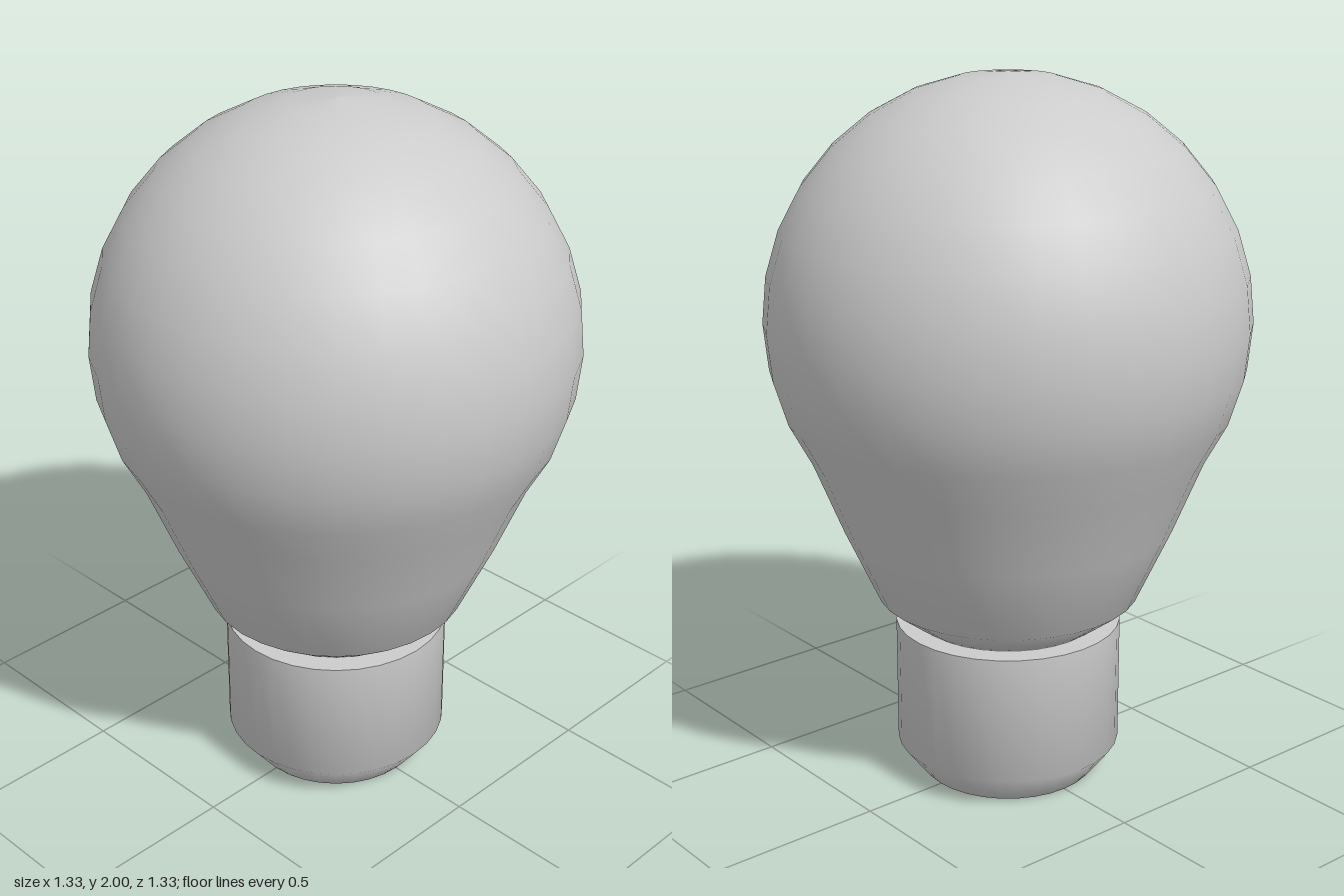
import * as THREE from 'three';
import { toCreasedNormals } from 'three/addons/utils/BufferGeometryUtils.js';

const SIDES = 32;
const RADIUS = 0.665;
const CENTRE_Y = 1.335;

export function createModel() {
  const group = new THREE.Group();
  const material = new THREE.MeshStandardMaterial({ color: 0xcccccc });

  const addPart = (name, geometry) => {
    const mesh = new THREE.Mesh(geometry, material);
    mesh.name = name;
    group.add(mesh);
  };
  const points = (pairs) => pairs.map(([r, y]) => new THREE.Vector2(r, y));

  // Glass bulb: tapered neck running up into a sphere
  const bulb = points([[0, 0.45], [0.25, 0.45], [0.3, 0.487], [0.37, 0.54], [0.47, 0.76]]);
  for (let i = -3; i <= 8; i++) {
    const a = (i * Math.PI) / 16;
    bulb.push(new THREE.Vector2(i === 8 ? 0 : RADIUS * Math.cos(a), CENTRE_Y + RADIUS * Math.sin(a)));
  }
  addPart('bulb', new THREE.LatheGeometry(bulb, SIDES));

  // Socket base: bevelled at the bottom, sharp at the top rim
  const base = points([[0, 0], [0.25, 0], [0.26, 0.012], [0.32, 0.09], [0.32, 0.457], [0, 0.457]]);
  addPart('base', toCreasedNormals(new THREE.LatheGeometry(base, SIDES), Math.PI / 3));

  return group;
}
